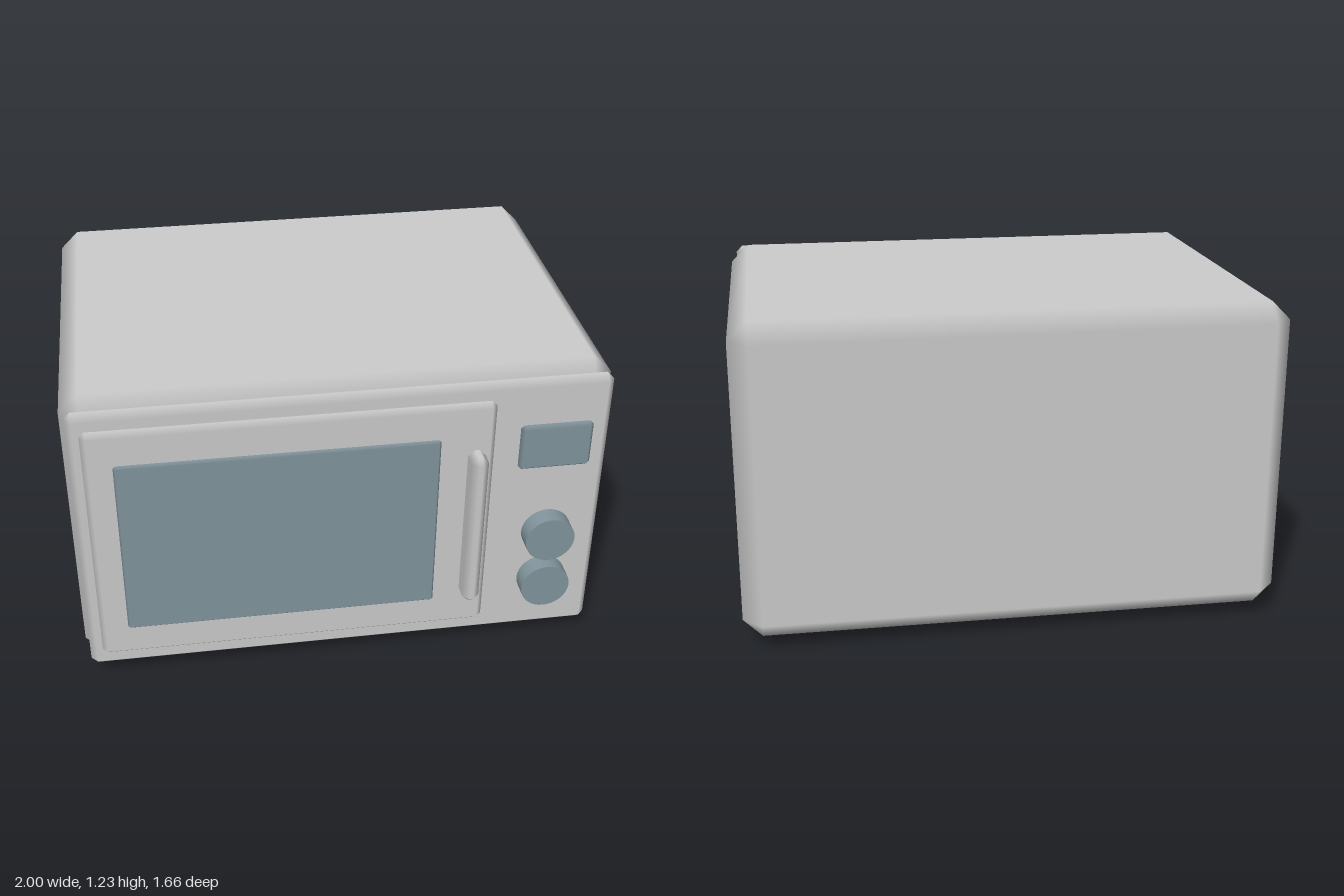
import * as THREE from 'three';

const grey = new THREE.MeshStandardMaterial({ color: 0xcccccc });
const slate = new THREE.MeshStandardMaterial({ color: 0x82959d });

// Box with a single-step bevel: flat faces, softly shaded bevels.
function bevelBox(size, bevel) {
  const half = size.map((s) => s / 2);
  const pos = [], nor = [], index = [];
  const sign = (corner, axis) => ((corner >> axis) & 1 ? 1 : -1);
  for (let c = 0; c < 8; c++) {
    for (let a = 0; a < 3; a++) {
      for (let k = 0; k < 3; k++) {
        pos.push(sign(c, k) * (half[k] - (k === a ? 0 : bevel)));
        nor.push(k === a ? sign(c, k) : 0);
      }
    }
  }
  const vec = (list, i) => new THREE.Vector3().fromArray(list, i * 3);
  // Adds a triangle, turned so that it faces along its vertex normals
  const tri = (i, j, k) => {
    const p = vec(pos, i);
    const n = vec(pos, j).sub(p).cross(vec(pos, k).sub(p));
    const out = vec(nor, i).add(vec(nor, j)).add(vec(nor, k));
    if (n.dot(out) > 0) index.push(i, j, k);
    else index.push(i, k, j);
  };
  const quad = (i, j, k, l) => { tri(i, j, k); tri(i, k, l); };
  for (let a = 0; a < 3; a++) {
    const u = 1 << ((a + 1) % 3), v = 1 << ((a + 2) % 3), w = 1 << a;
    // Two flat faces across this axis
    for (const c of [0, w]) quad(c * 3 + a, (c + u) * 3 + a, (c + u + v) * 3 + a, (c + v) * 3 + a);
    // Four bevels running along this axis
    const b = (a + 1) % 3, d = (a + 2) % 3;
    for (const c of [0, u, v, u + v]) quad(c * 3 + b, (c + w) * 3 + b, (c + w) * 3 + d, c * 3 + d);
  }
  // Corner triangles
  for (let c = 0; c < 8; c++) tri(c * 3, c * 3 + 1, c * 3 + 2);

  const geo = new THREE.BufferGeometry();
  geo.setAttribute('position', new THREE.Float32BufferAttribute(pos, 3));
  geo.setAttribute('normal', new THREE.Float32BufferAttribute(nor, 3));
  geo.setIndex(index);
  return geo;
}

// Bevelled block given by its extents on each axis
function block(name, x, y, z, bevel, material) {
  const ranges = [x, y, z];
  const mesh = new THREE.Mesh(bevelBox(ranges.map(([a, b]) => b - a), bevel), material);
  mesh.position.set(...ranges.map(([a, b]) => (a + b) / 2));
  mesh.name = name;
  return mesh;
}

export function createModel() {
  const model = new THREE.Group();
  model.name = 'microwaveOven';

  // Housing and front frame
  model.add(
    block('body', [-1, 1], [0.045, 1.225], [-0.83, 0.64], 0.07, grey),
    block('frontFrame', [-0.98, 0.98], [0.065, 1.205], [0.625, 0.685], 0.025, grey),
  );

  // Door with window and handle
  const door = new THREE.Group();
  door.name = 'door';
  door.add(
    block('doorPanel', [-0.93, 0.54], [0.155, 1.155], [0.685, 0.73], 0.02, grey),
    block('window', [-0.825, 0.337], [0.29, 1.022], [0.715, 0.745], 0.008, slate),
    block('handle', [0.433, 0.497], [0.33, 0.982], [0.73, 0.83], 0.024, grey),
  );
  model.add(door);

  // Display and knobs
  model.add(block('display', [0.638, 0.906], [0.85, 1.035], [0.688, 0.72], 0.012, slate));
  for (const [name, y] of [['upperKnob', 0.553], ['lowerKnob', 0.33]]) {
    const knob = new THREE.Mesh(new THREE.CylinderGeometry(0.094, 0.094, 0.07, 32), slate);
    knob.rotation.x = Math.PI / 2;
    knob.position.set(0.771, y, 0.735);
    knob.name = name;
    model.add(knob);
  }

  // Long feet
  for (const [name, side] of [['leftFoot', 1], ['rightFoot', -1]]) {
    const c = 0.735 * side;
    model.add(block(name, [c - 0.115, c + 0.115], [0, 0.042], [-0.605, 0.42], 0.014, slate));
  }
  return model;
}
